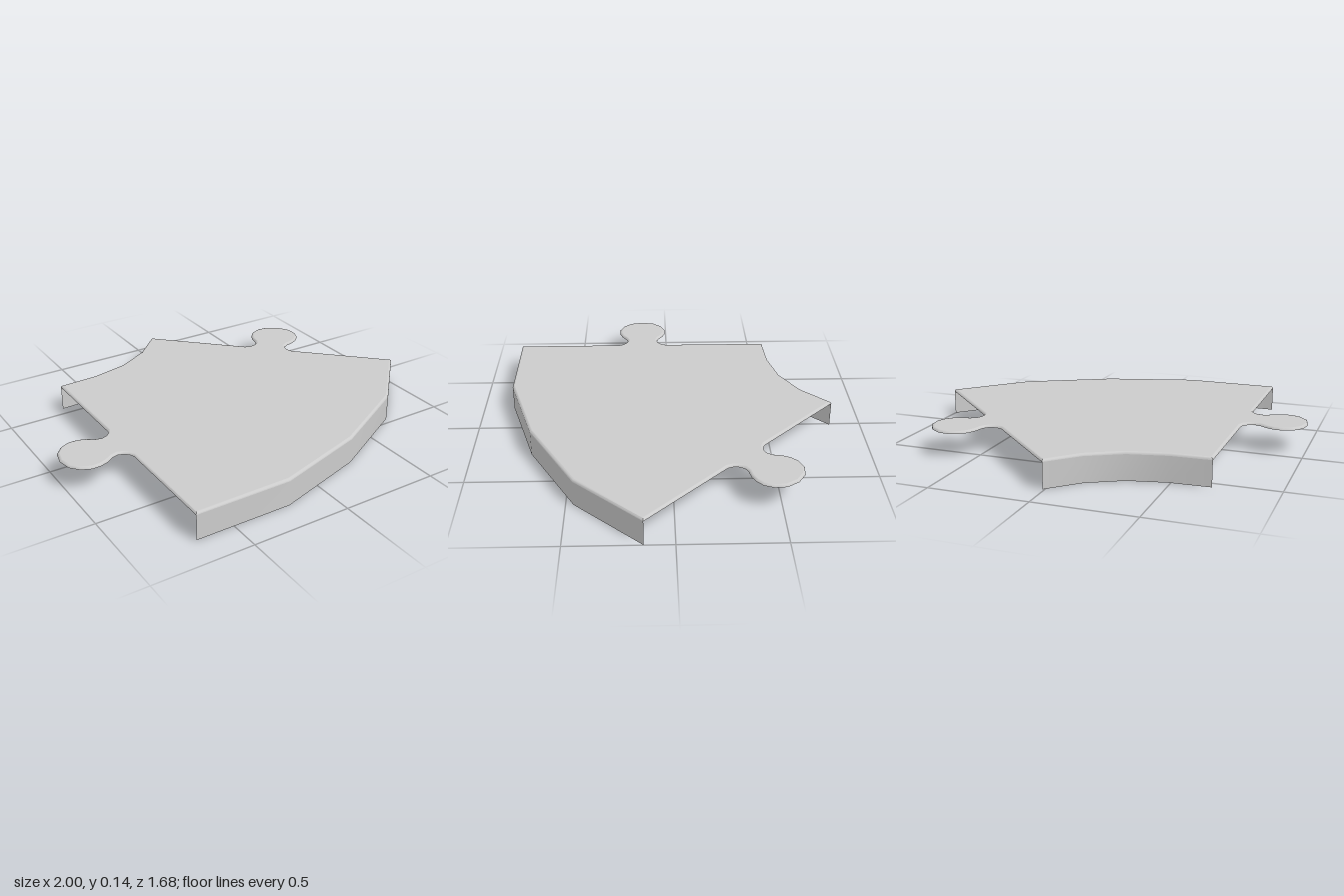
import * as THREE from 'three';
import { toCreasedNormals } from 'three/addons/utils/BufferGeometryUtils.js';

const TOP = 0.14, BEVEL = 0.012;

// Half of the tab outline: u along the edge, v outward from it
const HALF_TAB = [[0.137, 0], [0.112, 0.012], [0.094, 0.032], [0.085, 0.06], [0.094, 0.09], [0.118, 0.125],
  [0.132, 0.165], [0.133, 0.21], [0.112, 0.257], [0.068, 0.295], [0, 0.31]];
const TAB = [...HALF_TAB.map(([u, v]) => [-u, v]), ...HALF_TAB.slice(0, -1).reverse()];

// Outer and inner arcs, as [x, z]
const FRONT = [[-0.69, 0.84], [-0.205, 0.84], [0.26, 0.70], [0.695, 0.463], [1, 0.14]];
const BACK = [[0.01, -0.84], [-0.13, -0.70], [-0.30, -0.605], [-0.49, -0.562], [-0.69, -0.553]];

// Tab points placed at the middle of the straight edge from a to b
function tabOn(a, b) {
  const dx = b[0] - a[0], dz = b[1] - a[1], l = Math.hypot(dx, dz);
  const ux = dx / l, uz = dz / l;
  const mx = (a[0] + b[0]) / 2, mz = (a[1] + b[1]) / 2;
  return TAB.map(([u, v]) => [mx + ux * u - uz * v, mz + uz * u + ux * v]);
}

// Mitred inward offset of the closed outline
function inset(pts, d) {
  const n = pts.length;
  const normal = (a, b) => {
    const x = b[0] - a[0], z = b[1] - a[1], l = Math.hypot(x, z);
    return [-z / l, x / l];
  };
  return pts.map((p, i) => {
    const n1 = normal(pts[(i + n - 1) % n], p), n2 = normal(p, pts[(i + 1) % n]);
    const k = d / Math.max(0.3, 1 + n1[0] * n2[0] + n1[1] * n2[1]);
    return [p[0] - (n1[0] + n2[0]) * k, p[1] - (n1[1] + n2[1]) * k];
  });
}

// Surface through rings {pts, y}, listed from bottom to top
function strip(rings, closed) {
  const n = rings[0].pts.length, pos = [], idx = [];
  rings.forEach(({ pts, y }) => pts.forEach(([x, z]) => pos.push(x, y, z)));
  for (let r = 0; r < rings.length - 1; r++) {
    for (let i = 0; i < (closed ? n : n - 1); i++) {
      const j = (i + 1) % n, a = r * n + i, b = r * n + j;
      idx.push(a, b, b + n, a, b + n, a + n);
    }
  }
  const g = new THREE.BufferGeometry();
  g.setAttribute('position', new THREE.Float32BufferAttribute(pos, 3));
  g.setIndex(idx);
  g.computeVertexNormals();
  return g;
}

export function createModel() {
  const group = new THREE.Group();
  const material = new THREE.MeshStandardMaterial({ color: 0xcccccc, side: THREE.DoubleSide });
  const add = (name, geometry) => {
    const mesh = new THREE.Mesh(geometry, material);
    mesh.name = name;
    group.add(mesh);
  };

  // Outline with a tab on each straight side
  const outline = [
    ...FRONT, ...tabOn(FRONT[4], BACK[0]),
    ...BACK, ...tabOn(BACK[4], FRONT[0]),
  ];

  // Flat top plate
  const inner = inset(outline, BEVEL);
  const shape = new THREE.Shape(inner.map(([x, z]) => new THREE.Vector2(x, -z)));
  add('topPlate', new THREE.ShapeGeometry(shape).rotateX(-Math.PI / 2).translate(0, TOP, 0));

  // Rounded rim all round the plate
  const rings = [0, 1, 2, 3].map((k) => {
    const t = (k / 3) * Math.PI / 2;
    return { pts: inset(outline, BEVEL * (1 - Math.cos(t))), y: TOP - BEVEL * (1 - Math.sin(t)) };
  });
  add('roundedRim', toCreasedNormals(strip(rings, true), 0.7));

  // Walls hang only from the two arcs; the tabbed sides stay open
  const wall = (pts) => strip([{ pts, y: 0 }, { pts, y: TOP - BEVEL }], false);
  add('frontWall', wall(FRONT));
  add('backWall', wall(BACK));

  return group;
}
